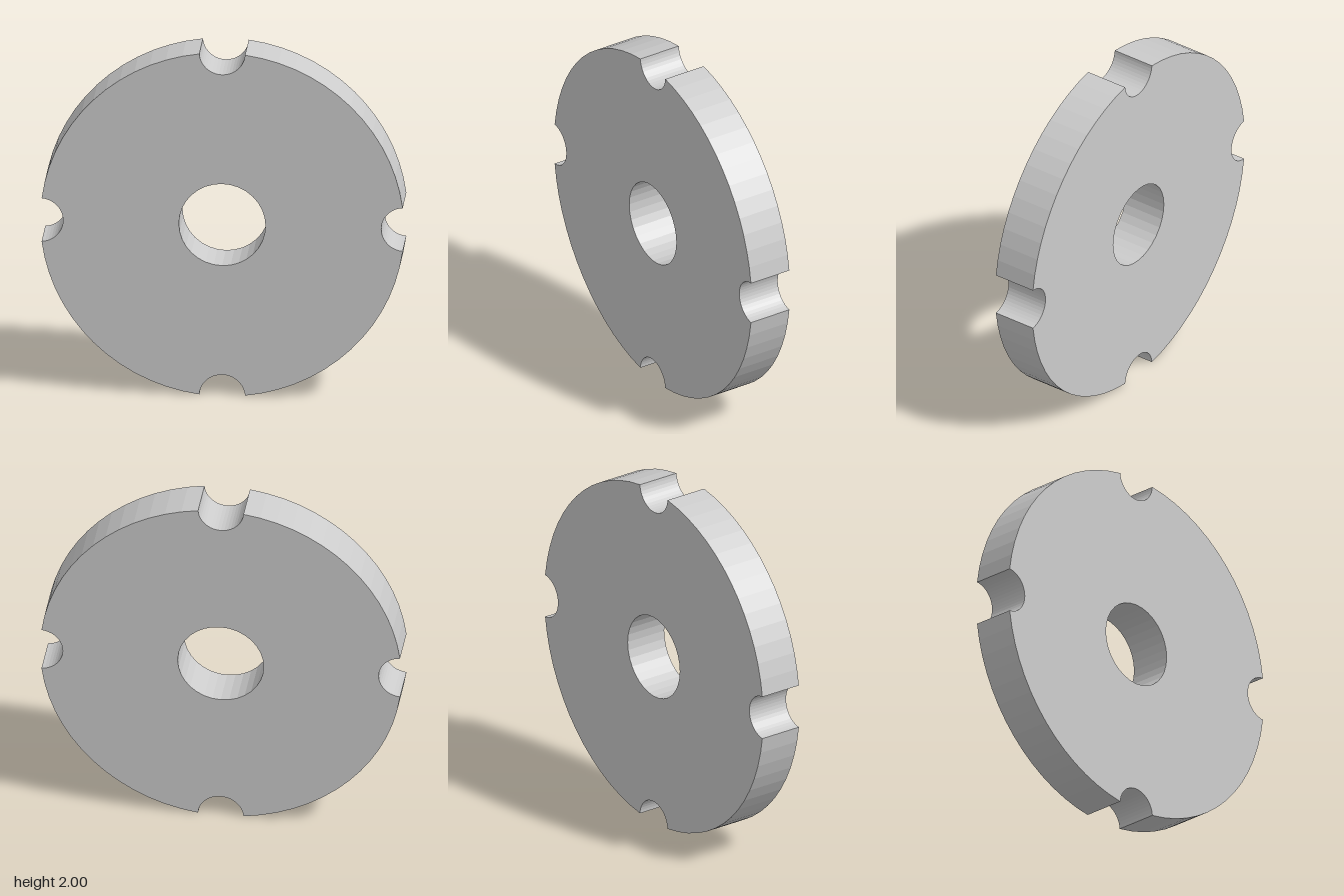
import * as THREE from 'three';

const NOTCH = 0.127;      // notch radius
const RIM = 1.008;        // disc radius
const HOLE = 0.24;        // centre hole radius
const THICK = 0.252;

// Points along an arc, both ends included
function arc(cx, cy, r, from, to, segments) {
  const points = [];
  for (let i = 0; i <= segments; i++) {
    const a = from + (to - from) * i / segments;
    points.push(new THREE.Vector2(cx + r * Math.cos(a), cy + r * Math.sin(a)));
  }
  return points;
}

export function createModel() {
  const group = new THREE.Group();
  group.name = 'notchedDisc';

  // Outline: four scooped notches joined by rim arcs
  const half = 2 * Math.asin(NOTCH / (2 * RIM)); // half angle a notch takes from the rim
  const bite = Math.PI / 2 + half / 2;
  const outline = [];
  for (let k = 0; k < 4; k++) {
    const t = k * Math.PI / 2;
    const cx = RIM * Math.cos(t), cy = RIM * Math.sin(t);
    const notch = arc(cx, cy, NOTCH, t - bite, t - 2 * Math.PI + bite, 20);
    const rim = arc(0, 0, RIM, t + half, t + Math.PI / 2 - half, 14);
    outline.push(...notch, ...rim.slice(1, -1));
  }
  const shape = new THREE.Shape(outline);

  // Round centre hole
  shape.holes.push(new THREE.Path(arc(0, 0, HOLE, 0, -2 * Math.PI, 32).slice(0, -1)));

  const geometry = new THREE.ExtrudeGeometry(shape, { depth: THICK, bevelEnabled: false });
  geometry.translate(0, 1, -THICK / 2);

  const disc = new THREE.Mesh(
    geometry,
    new THREE.MeshStandardMaterial({ color: 0xcccccc, flatShading: true })
  );
  disc.name = 'disc';
  group.add(disc);
  return group;
}
